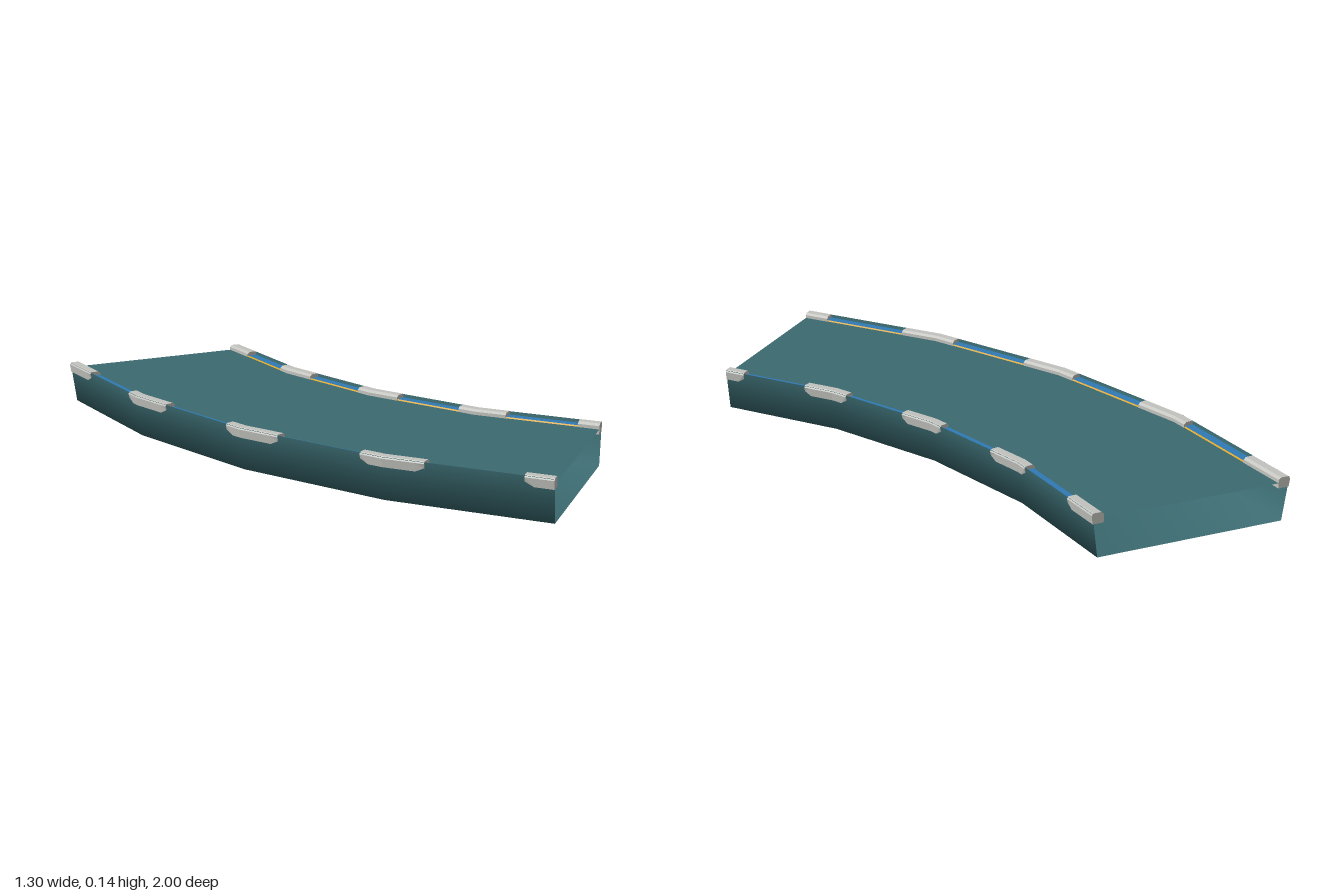
import * as THREE from 'three';

const mat = (name, color) => {
  const m = new THREE.MeshStandardMaterial({ color, side: THREE.DoubleSide });
  m.name = name;
  return m;
};

// The bend: 45 degrees in four straight segments
const CX = 2.1765, CZ = -1, STEP = 11.25, END = 45;
const BENDS = [0, 1, 2, 3, 4].map((k) => k * STEP);
const EDGES = [
  { name: 'outer', r: 2.828, inward: -1 },
  { name: 'inner', r: 2.157, inward: 1 },
];

// Point on the segmented bend at an angle in degrees
function bendPoint(deg, r, y) {
  const at = (d) => {
    const a = THREE.MathUtils.degToRad(d);
    return new THREE.Vector3(CX - r * Math.cos(a), y, CZ + r * Math.sin(a));
  };
  const k = Math.min(3, Math.floor(deg / STEP));
  return at(k * STEP).lerp(at((k + 1) * STEP), deg / STEP - k);
}

// Skin a list of [radius, y] profiles placed along the bend
function sweep(angles, profileAt, { closed = false, flat = false } = {}) {
  const pos = [], index = [];
  const n = profileAt(0).length;
  angles.forEach((a, i) => {
    profileAt(i).forEach(([r, y]) => pos.push(...bendPoint(a, r, y).toArray()));
    if (i === 0) return;
    for (let j = 0; j < (closed ? n : n - 1); j++) {
      const p = (i - 1) * n + j, q = (i - 1) * n + ((j + 1) % n);
      index.push(p, q, p + n, q, q + n, p + n);
    }
  });
  if (closed) {
    const last = (angles.length - 1) * n;
    for (let j = 1; j < n - 1; j++) {
      index.push(0, j + 1, j, last, last + j, last + j + 1);
    }
  }
  let geo = new THREE.BufferGeometry();
  geo.setAttribute('position', new THREE.Float32BufferAttribute(pos, 3));
  geo.setIndex(index);
  if (flat) geo = geo.toNonIndexed();
  geo.computeVertexNormals();
  return geo;
}

export function createModel() {
  const group = new THREE.Group();
  group.name = 'curvedChannel';
  const teal = mat('teal', 0x3a6a70);
  const blue = mat('blue', 0x2f7ab5);
  const grey = mat('light grey', 0xc2c2be);
  const yellow = mat('yellow', 0xdca51e);

  const add = (name, geo, material) => {
    const mesh = new THREE.Mesh(geo, material);
    mesh.name = name;
    group.add(mesh);
  };

  // Open-ended trough: leaning walls and underside, softly shaded
  const [o, n] = EDGES;
  add('trough', sweep(BENDS, () => [
    [o.r - 0.003, 0.143], [o.r - 0.022, 0], [n.r + 0.022, 0], [n.r + 0.003, 0.143],
  ]), teal);

  // Flat deck between the walls
  add('deck', sweep(BENDS, () => [[o.r - 0.005, 0.127], [n.r + 0.005, 0.127]]), teal);

  for (const { name, r, inward } of EDGES) {
    const off = (d, y) => [r + inward * d, y];

    // Coloured strip along each wall, with a thin lip on its deck side
    add(name + 'Strip', sweep(BENDS, () => [off(0.005, 0.132), off(0.036, 0.132)]), blue);
    add(name + 'Lip', sweep(BENDS, () => [off(0.036, 0.132), off(0.039, 0.1275)]), yellow);

    // Clips gripping the rim, with their lower corners cut away
    for (let k = 0; k < 5; k++) {
      const start = 11 * k - 0.9, stop = start + 4.5, cut = 0.6;
      const from = Math.max(0, start), to = Math.min(END, stop);
      const angles = [from, start + cut, k * STEP, stop - cut, to]
        .filter((a, i, all) => a >= from && a <= to && all.indexOf(a) === i)
        .sort((a, b) => a - b);
      const profileAt = (i) => {
        const a = angles[i];
        const low = a === start || a === stop ? 0.124 : 0.11;
        return [
          off(0.004, low), off(0, 0.138), off(0.006, 0.145),
          off(0.032, 0.145), off(0.04, 0.138), off(0.04, low),
        ];
      };
      add(name + 'Clip' + (k + 1), sweep(angles, profileAt, { closed: true, flat: true }), grey);
    }
  }
  return group;
}
